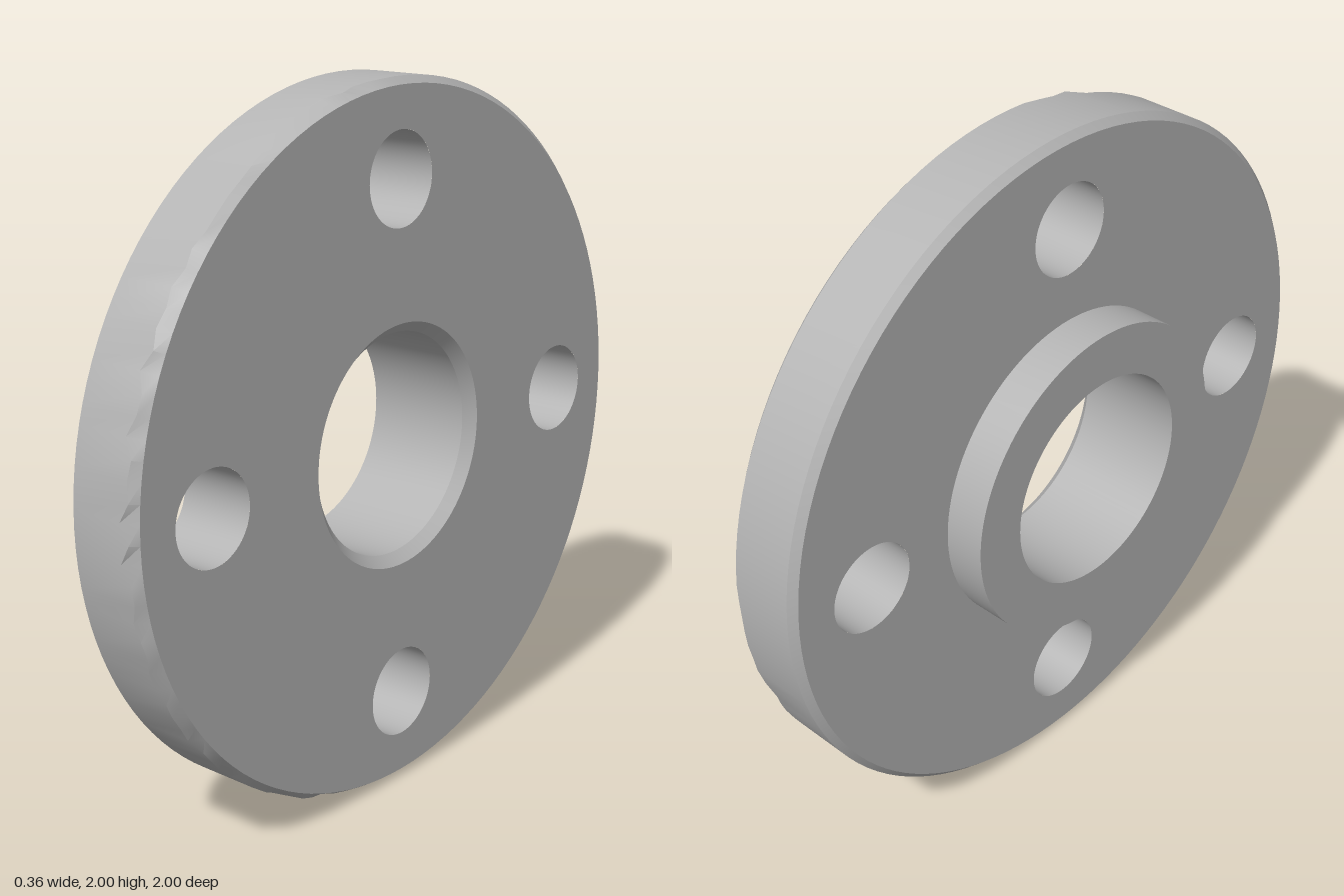
import * as THREE from 'three';
import { toCreasedNormals } from 'three/addons/utils/BufferGeometryUtils.js';

const SEG = 120;
const FRONT = 0.17, BACK = -0.06, HUB_END = -0.18;
const RIM = 1, EDGE = 0.98, BORE = 0.315, BORE_EDGE = 0.345, HUB = 0.465;
const BOLT_CIRCLE = 0.735, BOLT = 0.13;

// bolt hole centres as [y, z]
const boltCentres = [0, 1, 2, 3].map((i) => [
  BOLT_CIRCLE * Math.cos((i * Math.PI) / 2),
  BOLT_CIRCLE * Math.sin((i * Math.PI) / 2),
]);

// lathe of [radius, x] pairs about the x axis; adjust may move the raw vertices
function turned(profile, segments = SEG, adjust) {
  const geo = new THREE.LatheGeometry(profile.map(([r, x]) => new THREE.Vector2(r, x)), segments);
  if (adjust) adjust(geo.attributes.position, profile.length);
  geo.rotateZ(-Math.PI / 2);
  return toCreasedNormals(geo, 0.5);
}

// flat ring with bolt holes, facing along +x or -x
function ringFace(inner, x, side) {
  const shape = new THREE.Shape().absarc(0, 0, EDGE, 0, Math.PI * 2, false);
  const addHole = (u, v, r) => shape.holes.push(new THREE.Path().absarc(u, v, r, 0, Math.PI * 2, true));
  addHole(0, 0, inner);
  boltCentres.forEach(([y, z]) => addHole(z, y, BOLT));
  return new THREE.ShapeGeometry(shape, SEG / 2).rotateY((side * Math.PI) / 2).translate(x, 0, 0);
}

// uneven nicks where the front chamfer meets the rim
function nickEdge(pos, rows) {
  let seed = 7;
  const nicks = Array.from({ length: SEG }, () => {
    seed = (seed * 16807) % 2147483647;
    return (seed / 2147483647) ** 2 * 0.035;
  });
  for (let i = 0; i <= SEG; i++) {
    const k = i * rows + 2;
    const cleanSide = pos.getX(k) < 0 && pos.getZ(k) < 0.1;
    if (!cleanSide) pos.setY(k, pos.getY(k) - nicks[i % SEG]);
  }
}

export function createModel() {
  const model = new THREE.Group();
  model.name = 'flange';
  const steel = new THREE.MeshStandardMaterial({ color: 0xb4b4b4 });
  steel.name = 'grey steel';

  const body = new THREE.Group();
  body.name = 'flangeBody';
  body.position.y = 1;
  body.rotation.set(0.006, 0, 0.006);
  model.add(body);

  const add = (name, geometry) => {
    const mesh = new THREE.Mesh(geometry, steel);
    mesh.name = name;
    body.add(mesh);
    return mesh;
  };

  // plate faces
  add('frontFace', ringFace(BORE_EDGE, FRONT, 1));
  add('backFace', ringFace(HUB, BACK, -1));

  // chamfered outer rim
  add('rim', turned(
    [[EDGE, BACK], [RIM, BACK + 0.02], [RIM, FRONT - 0.02], [EDGE, FRONT]], SEG, nickEdge));

  // chamfered bore continuing through the raised hub
  add('boreAndHub', turned([
    [BORE_EDGE, FRONT], [BORE, FRONT - 0.03], [BORE, HUB_END], [HUB, HUB_END], [HUB, BACK],
  ]));

  // bolt hole walls
  const wall = turned([[BOLT, FRONT], [BOLT, BACK]], SEG / 2);
  boltCentres.forEach(([y, z]) => add('boltHole', wall).position.set(0, y, z));

  return model;
}
